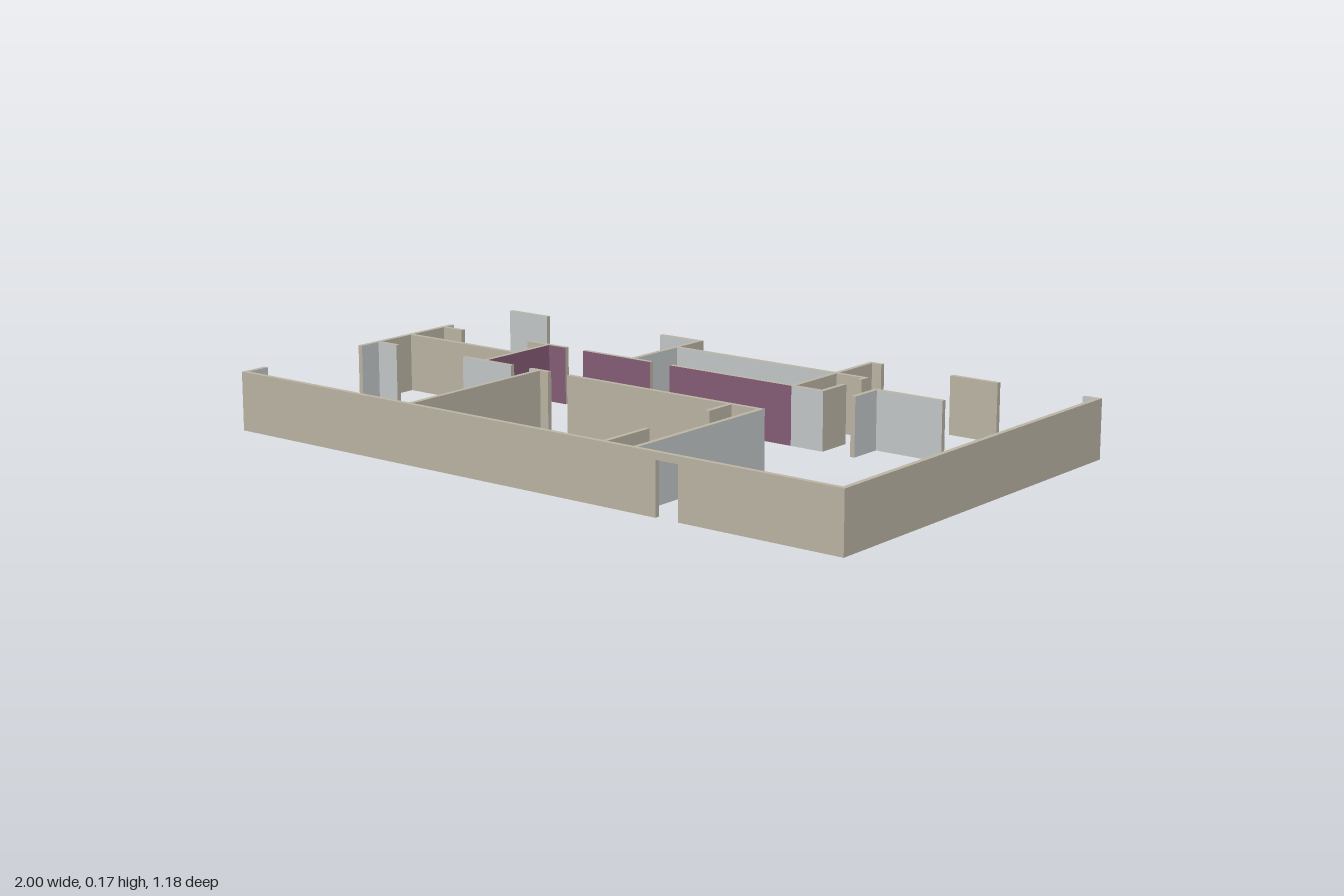
import * as THREE from 'three';

const HEIGHT = 0.165, T = 0.014, DOOR_TOP = 0.145;

export function createModel() {
  const group = new THREE.Group();
  const paint = (name, color) => {
    const m = new THREE.MeshStandardMaterial({ color });
    m.name = name;
    return m;
  };
  const beige = paint('beige', 0xbdb6a6);
  const grey = paint('paleGrey', 0xc5c9ca);
  const plum = paint('plum', 0x855c77);

  // One straight wall; each long side has its own paint, ends and top stay beige
  const addBox = (name, w, d, x, z, sides, y0 = 0) => {
    const mesh = new THREE.Mesh(new THREE.BoxGeometry(w, HEIGHT - y0, d), sides);
    mesh.position.set(x, (HEIGHT + y0) / 2, z);
    mesh.name = name;
    group.add(mesh);
  };
  // Wall along x: back is the -z side, front the +z side
  const wallX = (name, x0, x1, z, back, front, y0) =>
    addBox(name, x1 - x0, T, (x0 + x1) / 2, z, [beige, beige, beige, beige, front, back], y0);
  // Wall along z: right is the -x side, left the +x side
  const wallZ = (name, z0, z1, x, right, left) =>
    addBox(name, T, z1 - z0, x, (z0 + z1) / 2, [left, right, beige, beige, beige, beige]);

  // Front wall with doorway and lintel
  [
    [-1, -0.379, grey], [-0.379, 0.374, beige], [0.374, 0.445, grey], [0.515, 1, grey],
  ].forEach(([x0, x1, inside]) => wallX('frontWall', x0, x1, 0.581, inside, beige));
  wallX('doorLintel', 0.445, 0.515, 0.581, grey, beige, DOOR_TOP);

  // Outer side walls
  wallZ('leftWall', -0.574, 0.574, 0.993, grey, beige);
  [
    [-0.248, -0.21, grey], [-0.21, 0.064, beige], [0.064, 0.138, grey], [0.505, 0.574, grey],
  ].forEach(([z0, z1, inside]) => wallZ('rightWall', z0, z1, -0.993, beige, inside));

  // Outer back walls
  [
    [0.27, 0.315, -0.581, beige], [0.54, 0.69, -0.581, beige], [0.95, 1, -0.581, grey],
    [-1, -0.852, -0.519, grey], [-0.418, -0.269, -0.519, grey],
    [-0.269, 0.27, -0.411, grey],
  ].forEach(([x0, x1, z, inside]) => wallX('backWall', x0, x1, z, beige, inside));

  // Partition behind the hall
  [
    [-0.986, -0.915, grey, beige], [-0.658, -0.583, grey, beige], [-0.583, -0.515, grey, plum],
    [-0.45, -0.207, grey, plum], [-0.138, 0.277, grey, plum], [0.277, 0.381, beige, grey],
  ].forEach(([x0, x1, back, front]) => wallX('rearHallWall', x0, x1, -0.21, back, front));

  // Partition in front of the hall
  [
    [-0.986, -0.915, beige, grey], [-0.658, -0.583, beige, grey], [-0.583, -0.479, plum, grey],
    [-0.413, -0.379, plum, grey], [-0.379, -0.344, plum, beige],
    [-0.275, 0.277, plum, beige], [0.277, 0.367, grey, beige],
  ].forEach(([x0, x1, back, front]) => wallX('frontHallWall', x0, x1, 0.064, back, front));

  // Small rooms at the hall's end
  wallZ('hallEndWall', -0.203, 0.057, -0.583, beige, plum);
  wallX('smallRoomDivider', -0.986, -0.59, -0.07, beige, beige);

  // Rear room dividers
  wallZ('rearRoomDivider', -0.512, -0.411, -0.276, grey, beige);
  wallZ('rearRoomDivider', -0.411, -0.217, -0.276, grey, grey);
  wallZ('kitchenSideWall', -0.574, -0.411, 0.277, beige, beige);
  wallZ('closetBackWall', -0.411, -0.217, 0.277, grey, beige);

  // Closet beside the kitchen
  wallX('closetSideWall', 0.284, 0.381, -0.411, beige, beige);
  wallZ('closetFrontWall', -0.404, -0.382, 0.374, beige, beige);
  wallZ('closetFrontWall', -0.31, -0.217, 0.374, beige, beige);

  // Kitchen corner wall
  wallX('kitchenWall', 0.47, 0.69, -0.31, beige, grey);
  wallZ('kitchenWall', -0.303, -0.203, 0.477, beige, grey);

  // Front room dividers
  wallZ('frontRoomDivider', 0.071, 0.574, -0.379, grey, beige);
  wallZ('livingRoomWall', 0.057, 0.574, 0.374, beige, grey);
  wallZ('wardrobeWall', 0.071, 0.165, 0.277, beige, beige);
  wallZ('wardrobeWall', 0.41, 0.574, 0.277, beige, beige);

  return group;
}
